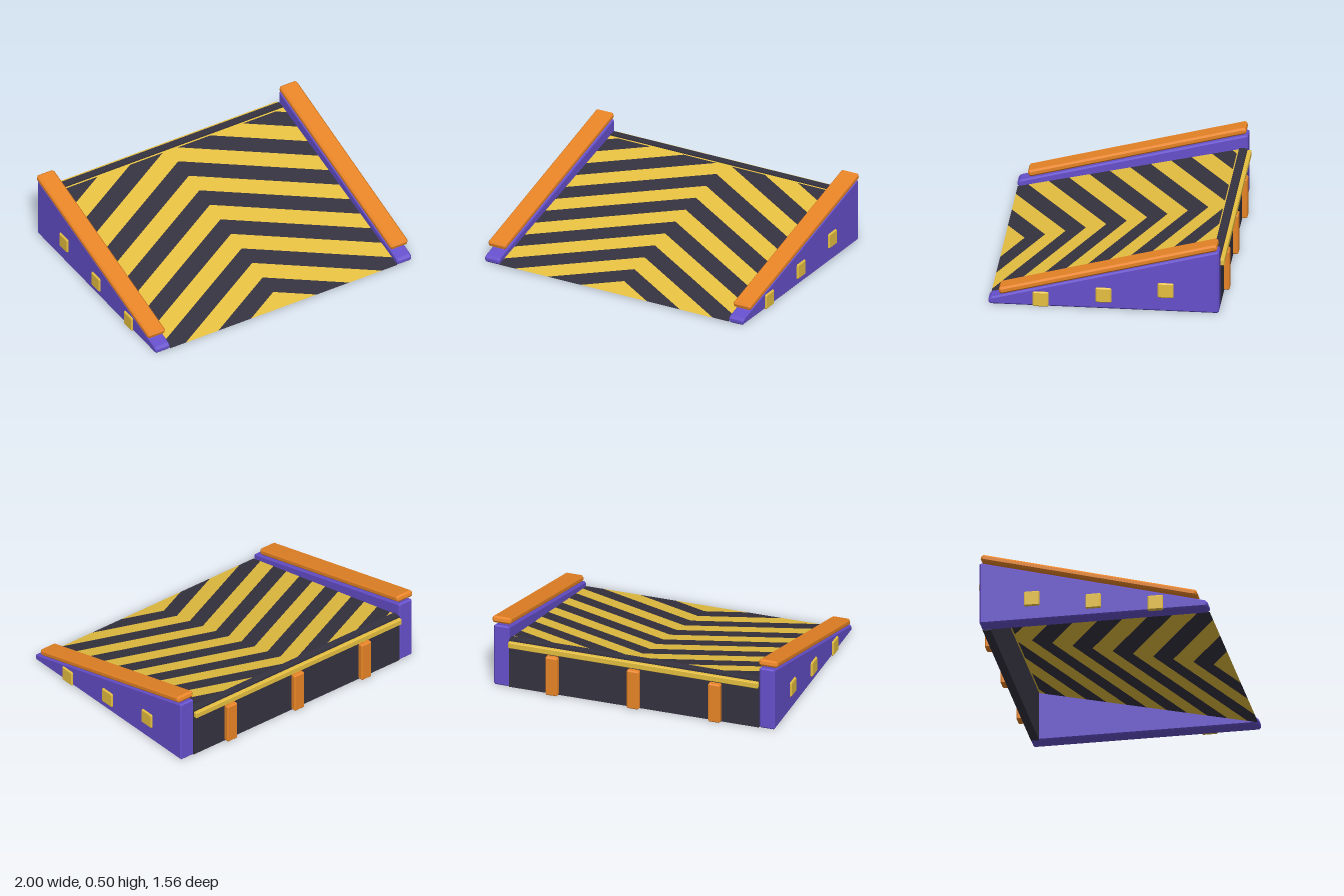
import * as THREE from 'three';

const mat = (color, side = THREE.FrontSide) =>
  new THREE.MeshStandardMaterial({ color, side, flatShading: true });
const YELLOW = 0xe6c040, DARK = 0x35323f, ORANGE = 0xe88426, PURPLE = 0x6650cc;

// Chamfered solid: profile of [z, y] points, extruded along x and centred on x = 0
function chamferedProfile(points, width, b) {
  const shape = new THREE.Shape(points.map(([z, y]) => new THREE.Vector2(z, y)));
  const geo = new THREE.ExtrudeGeometry(shape, {
    depth: width - 2 * b, bevelEnabled: true, bevelSegments: 1,
    bevelThickness: b, bevelSize: b, bevelOffset: -b,
  });
  geo.translate(0, 0, b - width / 2);
  return geo.rotateY(-Math.PI / 2);
}

// Box with all edges chamfered, centred on the origin
function chamferedBox(w, h, d, b) {
  const z = d / 2, y = h / 2;
  return chamferedProfile([
    [z, -y + b], [z, y - b], [z - b, y], [-z + b, y],
    [-z, y - b], [-z, -y + b], [-z + b, -y], [z - b, -y],
  ], w, b);
}

// Keep the part of a [x, z] polygon where side * (z - limit) <= 0
function clipZ(poly, limit, side) {
  const out = [];
  poly.forEach((p, i) => {
    const q = poly[(i + 1) % poly.length];
    const dp = side * (p[1] - limit), dq = side * (q[1] - limit);
    if (dp <= 0) out.push(p);
    if (dp * dq < 0) {
      const t = dp / (dp - dq);
      out.push([p[0] + t * (q[0] - p[0]), limit]);
    }
  });
  return out;
}

// Sloped deck made of alternating chevron stripes
function makeDeck() {
  const deck = new THREE.Group();
  deck.name = 'chevronDeck';
  const half = 0.875, front = 0.78, back = -0.68, slope = 0.54, band = 0.1355;
  const height = z => 0.005 + (front - z) * 0.23;
  const data = { [DARK]: [], [YELLOW]: [] };
  const addPoly = (poly, color) => {
    for (const s of [1, -1]) {
      for (let i = 1; i < poly.length - 1; i++) {
        const tri = [poly[0], poly[i], poly[i + 1]];
        if (s < 0) tri.reverse();
        for (const [x, z] of tri) data[color].push(s * x, height(z), z);
      }
    }
  };
  for (let k = -6; k < 11; k++) {
    const z0 = -0.576 + k * band, z1 = z0 + band, rise = slope * half;
    let poly = [[0, z0], [0, z1], [half, z1 + rise], [half, z0 + rise]];
    poly = clipZ(clipZ(poly, front, 1), back, -1);
    if (poly.length > 2) addPoly(poly, k % 2 === 0 ? DARK : YELLOW);
  }
  // Plain strip along the top edge
  addPoly([[0, -0.695], [0, back], [half, back], [half, -0.695]], YELLOW);
  for (const [color, name] of [[DARK, 'darkStripes'], [YELLOW, 'yellowStripes']]) {
    const geo = new THREE.BufferGeometry();
    geo.setAttribute('position', new THREE.Float32BufferAttribute(data[color], 3));
    geo.computeVertexNormals();
    const mesh = new THREE.Mesh(geo, mat(color, THREE.DoubleSide));
    mesh.name = name;
    deck.add(mesh);
  }
  return deck;
}

export function createModel() {
  const root = new THREE.Group();
  root.name = 'ramp';
  const add = (name, geo, color, x, y, z) => {
    const mesh = new THREE.Mesh(geo, mat(color));
    mesh.name = name;
    mesh.position.set(x, y, z);
    root.add(mesh);
    return mesh;
  };

  root.add(makeDeck());

  // Back wall with its top trim and three posts
  add('backWall', new THREE.BoxGeometry(1.75, 0.352, 0.055), DARK, 0, 0.176, -0.7175);
  add('backTrim', chamferedBox(1.75, 0.042, 0.03, 0.004), YELLOW, 0, 0.32, -0.757);
  for (const x of [-0.57, 0, 0.57]) {
    add('backPost', chamferedBox(0.085, 0.282, 0.045, 0.008), ORANGE, x, 0.142, -0.7575);
  }

  // Side walls, sloped rails and side plates
  const wall = chamferedProfile([
    [0.77, 0], [0.782, 0.012], [0.782, 0.032], [0.765, 0.048],
    [-0.737, 0.443], [-0.747, 0.435], [-0.747, 0.01], [-0.737, 0],
  ], 0.11, 0.01);
  const rail = chamferedBox(0.132, 0.045, 1.495, 0.012);
  const plate = chamferedBox(0.03, 0.105, 0.105, 0.007);
  for (const [side, s] of [['left', 1], ['right', -1]]) {
    add(side + 'SideWall', wall, PURPLE, s * 0.93, 0, 0);
    add(side + 'Rail', rail, ORANGE, s * 0.934, 0.288, -0.012).rotation.x = 0.258;
    for (const [y, z] of [[0.052, 0.435], [0.1, 0.018], [0.152, -0.395]]) {
      add(side + 'Plate', plate, YELLOW, s * 0.982, y, z);
    }
  }
  return root;
}
